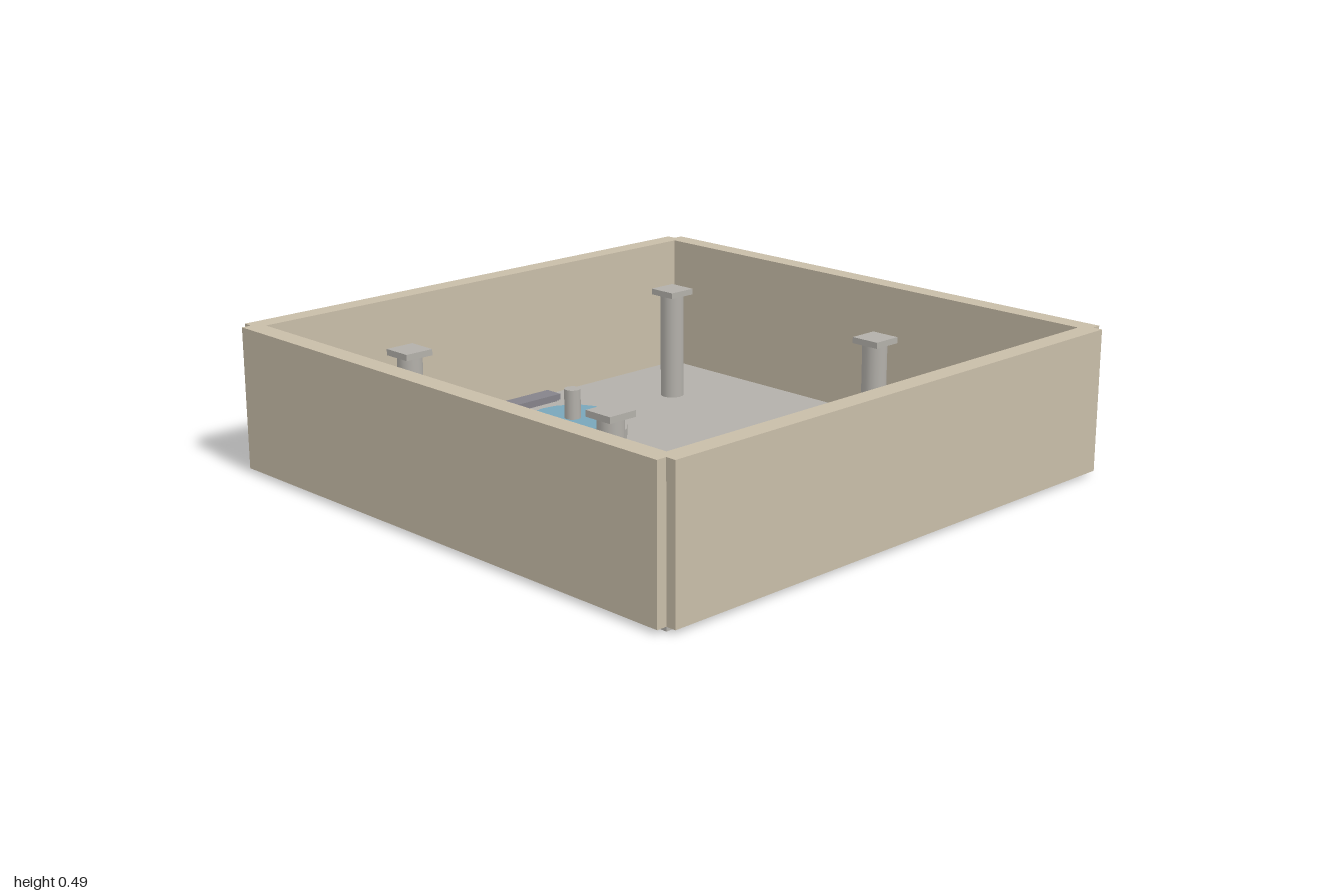
import * as THREE from 'three';

const mat = (color) => new THREE.MeshStandardMaterial({ color });

export function createModel() {
  const root = new THREE.Group();
  root.name = 'courtyard';
  const sand = mat(0xc8bda8);
  const stone = mat(0xb3b0aa);
  const water = mat(0x78a6ba);
  const slate = mat(0x85838a);
  const wood = mat(0xa5886c);

  // Adds a mesh whose underside rests at height y
  const add = (name, geometry, material, height, x, y, z, parent = root) => {
    const mesh = new THREE.Mesh(geometry, material);
    mesh.name = name;
    mesh.position.set(x, y + height / 2, z);
    parent.add(mesh);
    return mesh;
  };
  const box = (name, m, w, h, d, x, y, z, parent) =>
    add(name, new THREE.BoxGeometry(w, h, d), m, h, x, y, z, parent);
  const drum = (name, m, r, h, sides, x, y, z, parent) =>
    add(name, new THREE.CylinderGeometry(r, r, h, sides), m, h, x, y, z, parent);

  const floorTop = 0.014;
  const half = 0.9655;
  const wallThick = 0.069;
  const wallHeight = 0.48;

  // Floor slab
  box('floor', stone, half * 2, floorTop, half * 2, 0, 0, 0);

  // Four walls, leaving a small notch at each outer corner
  for (const s of [-1, 1]) {
    box(s > 0 ? 'frontWall' : 'backWall', sand, half * 2, wallHeight, wallThick, 0, floorTop, s * half);
    box(s > 0 ? 'leftWall' : 'rightWall', sand, wallThick, wallHeight, half * 2, s * half, floorTop, 0);
  }

  // Pillars with square caps
  for (const x of [-0.6, 0.6]) {
    for (const z of [-0.607, 0.357]) {
      const pillar = new THREE.Group();
      pillar.name = 'pillar';
      pillar.position.set(x, floorTop, z);
      drum('pillarShaft', stone, 0.042, 0.38, 16, 0, 0, 0, pillar);
      box('pillarCap', stone, 0.105, 0.021, 0.105, 0, 0.38, 0, pillar);
      root.add(pillar);
    }
  }

  // Fountain: basin, raised disc of water, centre spout
  const fountain = new THREE.Group();
  fountain.name = 'fountain';
  fountain.position.set(0, floorTop, -0.486);
  drum('fountainBasin', stone, 0.19, 0.036, 20, 0, 0, 0, fountain);
  drum('fountainWater', water, 0.155, 0.03, 20, 0, 0.036, 0, fountain);
  drum('fountainSpout', stone, 0.029, 0.17, 12, 0, 0, 0, fountain);
  root.add(fountain);

  // Three thin steps, each narrower, higher and further forward
  for (let i = 0; i < 3; i++) {
    box('step', slate, 0.478 - 0.07 * i, 0.021, 0.069, 0, floorTop + 0.021 * i, -0.873 + 0.0485 * i);
  }

  // Two benches turned at loose angles
  for (const [x, z, turn] of [[-0.482, 0.598, 0.35], [0.503, 0.538, -0.45]]) {
    box('bench', wood, 0.24, 0.069, 0.069, x, floorTop, z).rotation.y = turn;
  }

  return root;
}
